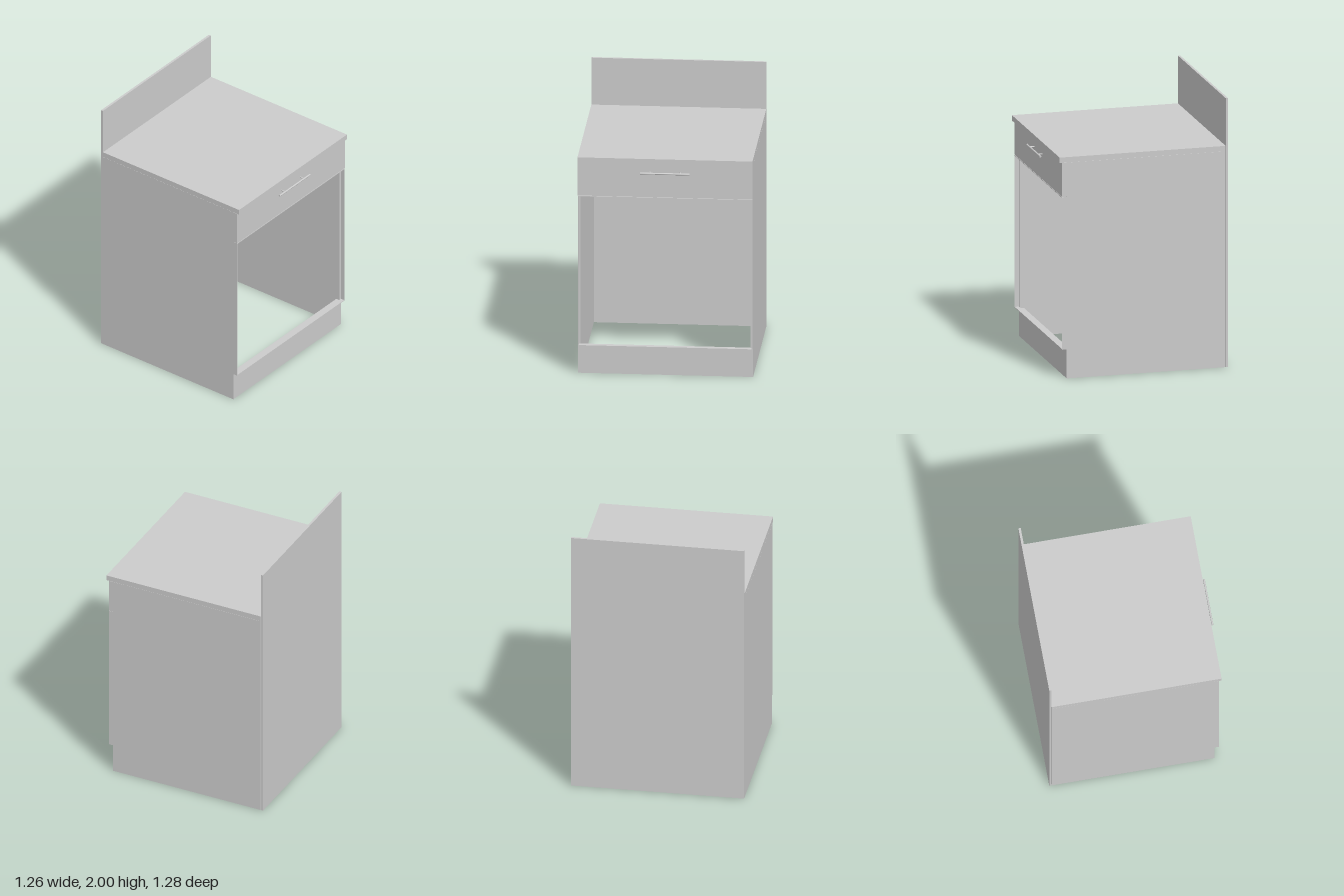
import * as THREE from 'three';

export function createModel() {
  const model = new THREE.Group();
  model.name = 'baseCabinet';
  const mat = new THREE.MeshStandardMaterial({ color: 0xcccccc });

  // Box given by its min and max on each axis
  const box = (name, [x0, x1], [y0, y1], [z0, z1], parent = model) => {
    const mesh = new THREE.Mesh(new THREE.BoxGeometry(x1 - x0, y1 - y0, z1 - z0), mat);
    mesh.position.set((x0 + x1) / 2, (y0 + y1) / 2, (z0 + z1) / 2);
    mesh.name = name;
    parent.add(mesh);
    return mesh;
  };

  const W = 0.632; // half width
  const T = 0.018; // panel thickness

  // Carcass
  box('backPanel', [-W, W], [0, 2], [-0.641, -0.624]);
  box('leftSide', [W - T, W], [0, 1.605], [-0.621, 0.566]);
  box('rightSide', [-W, -W + T], [0, 1.605], [-0.621, 0.566]);
  box('kickBoard', [-W + T, W - T], [0, 0.212], [0.536, 0.566]);
  box('worktop', [-W, W], [1.606, 1.646], [-0.623, 0.619]);

  // Drawer front
  box('drawerFront', [-W, W], [1.352, 1.604], [0.568, 0.6]);

  // Thin open rim around the door opening
  const rim = new THREE.Group();
  rim.name = 'doorRim';
  model.add(rim);
  const t = 0.005, R = W - 0.002, rz = [0.568, 0.6];
  box('rimLeft', [R - t, R], [0.215, 1.349], rz, rim);
  box('rimRight', [-R, -R + t], [0.215, 1.349], rz, rim);
  box('rimBottom', [-R + t, R - t], [0.215, 0.215 + t], rz, rim);
  box('rimTop', [-R + t, R - t], [1.349 - t, 1.349], rz, rim);

  // Bar handle on two posts
  const handle = new THREE.Group();
  handle.name = 'handle';
  handle.position.set(0, 1.541, 0);
  model.add(handle);
  const bar = new THREE.Mesh(new THREE.CylinderGeometry(0.007, 0.007, 0.356, 20), mat);
  bar.name = 'handleBar';
  bar.rotation.z = Math.PI / 2;
  bar.position.z = 0.634;
  handle.add(bar);
  for (const x of [-0.11, 0.11]) {
    const post = new THREE.Mesh(new THREE.CylinderGeometry(0.005, 0.005, 0.034, 16), mat);
    post.name = 'handlePost';
    post.rotation.x = Math.PI / 2;
    post.position.set(x, 0, 0.616);
    handle.add(post);
  }

  return model;
}
